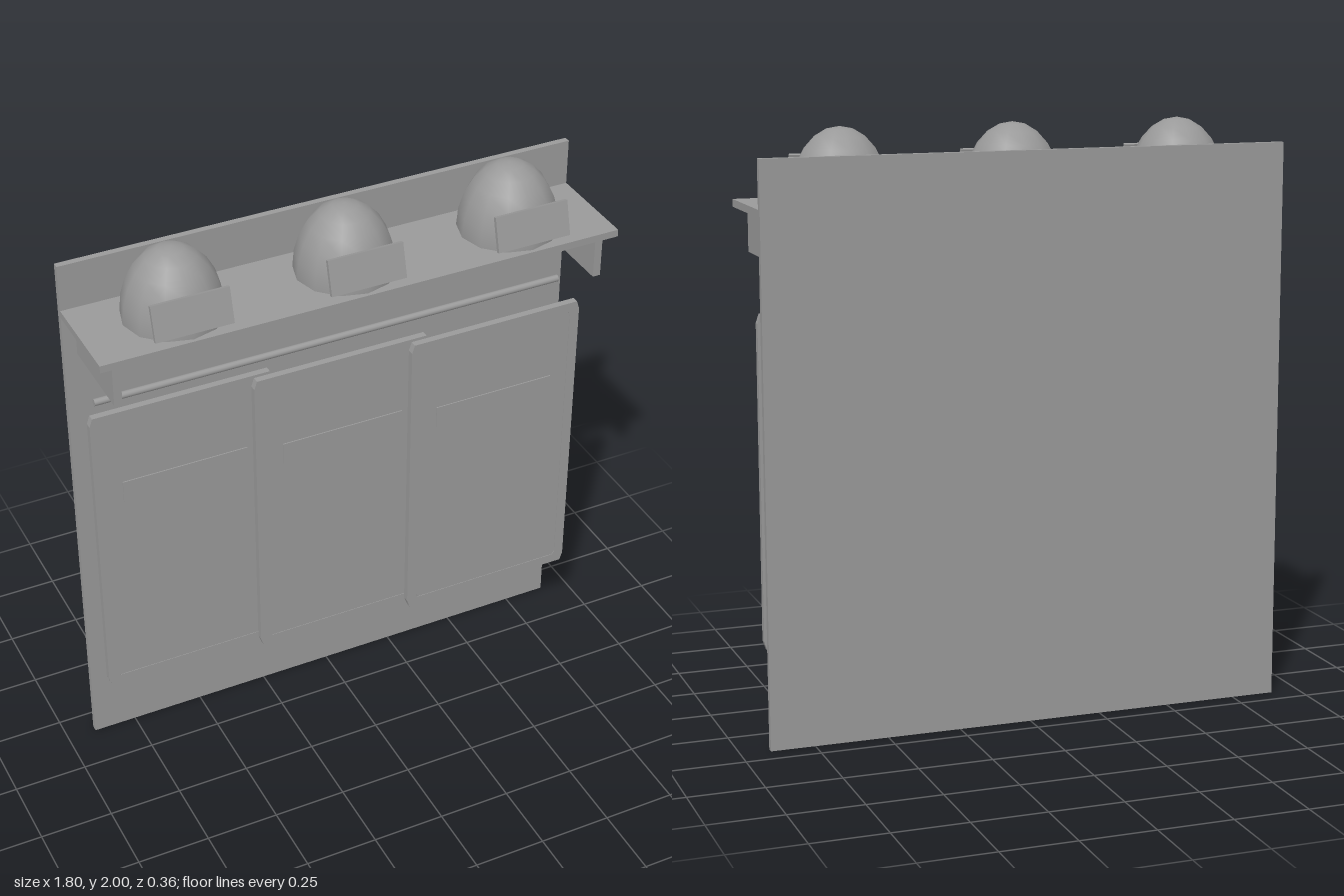
import * as THREE from 'three';

export function createModel() {
  const model = new THREE.Group();
  model.name = 'wallRack';
  const grey = new THREE.MeshStandardMaterial({ color: 0x999999 });
  grey.name = 'grey';

  const add = (name, geometry, x, y, z, parent = model) => {
    const mesh = new THREE.Mesh(geometry, grey);
    mesh.name = name;
    mesh.position.set(x, y, z);
    parent.add(mesh);
    return mesh;
  };
  const box = (w, h, d) => new THREE.BoxGeometry(w, h, d);

  // Back board, shelf and its two brackets
  add('backBoard', box(1.8, 1.92, 0.022), 0, 0.96, -0.168);
  add('shelf', box(1.8, 0.025, 0.336), 0, 1.7475, 0.011);
  for (const side of [-1, 1]) {
    add(side > 0 ? 'leftBracket' : 'rightBracket', box(0.027, 0.147, 0.316), side * 0.842, 1.662, 0.001);
  }

  // Hanging rail
  const rail = add('rail', new THREE.CylinderGeometry(0.012, 0.012, 1.68, 12), 0, 1.445, -0.08);
  rail.rotation.z = Math.PI / 2;

  // Upright rectangle with slightly clipped corners
  const outline = (path, w, h, cx, cy) => {
    const x = w / 2, y = h / 2;
    path.setFromPoints([
      [-x + cx, -y], [x - cx, -y], [x, -y + cy], [x, y - cy],
      [x - cx, y], [-x + cx, y], [-x, y - cy], [-x, -y + cy],
    ].map(([px, py]) => new THREE.Vector2(px, py)));
    path.closePath();
    return path;
  };
  const slab = (shape, depth) =>
    new THREE.ExtrudeGeometry(shape, { depth, bevelEnabled: false }).translate(0, 0, -depth / 2);

  // Overlapping hanging panels: thin sheet, raised hem and a cross band
  const W = 0.635, H = 1.12;
  [-1, 0, 1].forEach((i) => {
    const panel = new THREE.Group();
    panel.name = 'hangingPanel';
    panel.position.set(i * 0.5525, 0.845, -0.025 + i * 0.037);
    model.add(panel);

    add('sheet', box(W - 0.05, H - 0.05, 0.02), 0, 0, 0, panel);
    const hem = outline(new THREE.Shape(), W, H, 0.01, 0.03);
    hem.holes.push(outline(new THREE.Path(), W - 0.07, H - 0.07, 0.008, 0.012));
    add('hem', slab(hem, 0.024), 0, 0, 0, panel);
    add('band', box(0.44, 0.08, 0.028), 0, 0.243, 0, panel);
  });

  // Domed caps, each with a tilted front plate
  for (const x of [-0.588, 0, 0.588]) {
    const cap = new THREE.Group();
    cap.name = 'cap';
    cap.position.set(x, 1.76, 0);
    model.add(cap);

    const dome = new THREE.SphereGeometry(0.167, 12, 6, 0, Math.PI * 2, 0, Math.PI / 2);
    add('dome', dome, 0, 0, 0, cap).scale.y = 0.24 / 0.167;
    add('frontPlate', box(0.26, 0.118, 0.014), 0, 0.084, 0.157, cap).rotation.x = -0.26;
  }

  return model;
}
